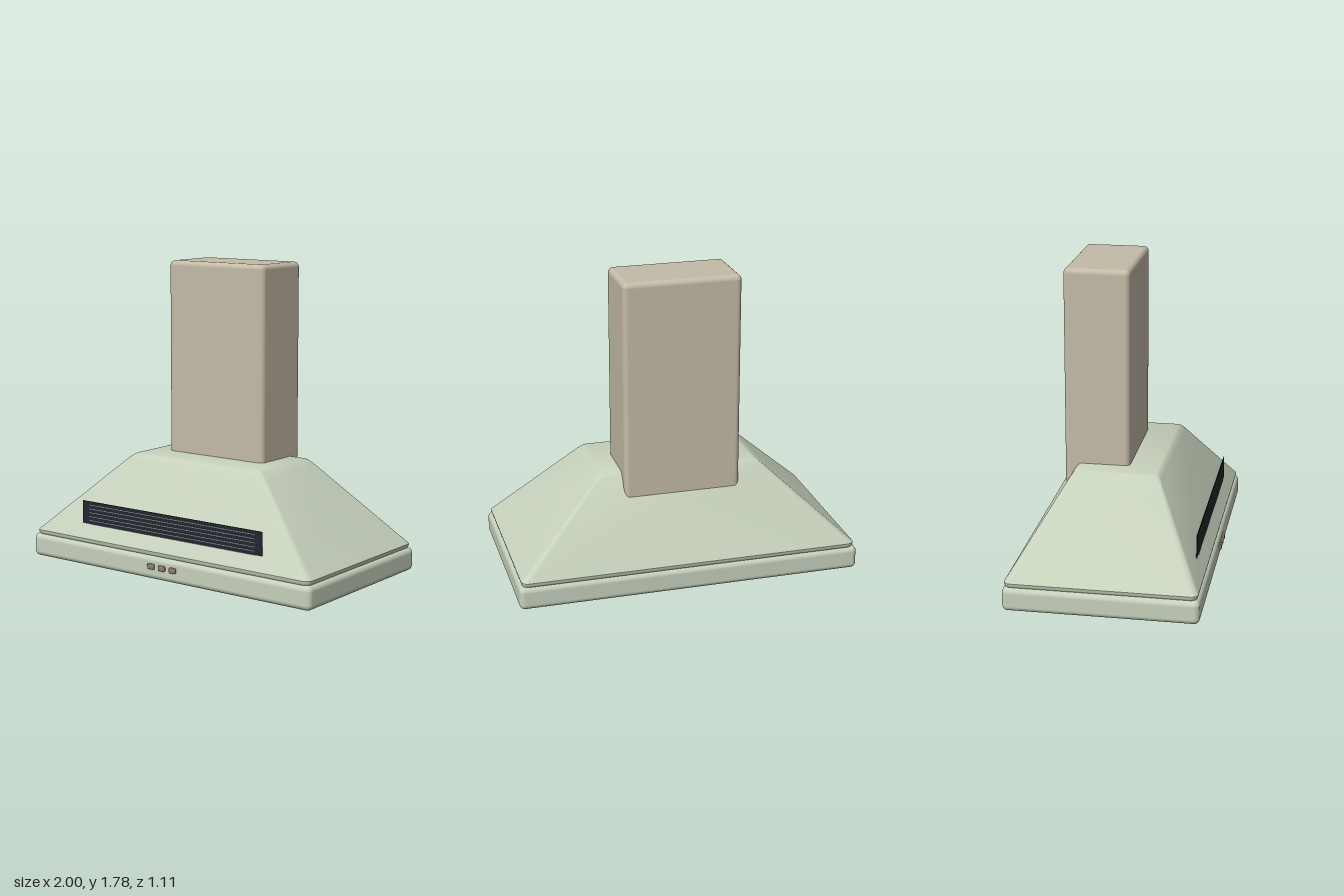
import * as THREE from 'three';
import { RoundedBoxGeometry } from 'three/addons/geometries/RoundedBoxGeometry.js';
import { toCreasedNormals } from 'three/addons/utils/BufferGeometryUtils.js';

const mat = (color) => new THREE.MeshStandardMaterial({ color });

export function createModel() {
  const model = new THREE.Group();
  const enamel = mat(0xc6d1bc), flueColor = mat(0xc4bba8), dark = mat(0x23272e);
  const slatColor = mat(0x8d949b), buttonColor = mat(0x8a7f6c);

  const add = (name, geometry, material, x, y, z) => {
    const mesh = new THREE.Mesh(geometry, material);
    mesh.name = name;
    mesh.position.set(x, y, z);
    model.add(mesh);
    return mesh;
  };

  // Rounded rim at the bottom
  add('baseRim', new RoundedBoxGeometry(2, 0.137, 1.09, 5, 0.032), enamel, 0, 0.0735, -0.005);

  // Canopy: rounded box tapered towards the top
  const y0 = 0.125, y1 = 0.65;
  const box = new RoundedBoxGeometry(1.97, y1 - y0, 1.07, 6, 0.04);
  box.translate(0, (y0 + y1) / 2, 0);
  const p = box.attributes.position;
  for (let i = 0; i < p.count; i++) {
    const t = Math.max(0, (p.getY(i) - 0.165) / (y1 - 0.165));
    p.setX(i, p.getX(i) * THREE.MathUtils.lerp(1, 0.46 / 0.985, t));
    p.setZ(i, p.getZ(i) * THREE.MathUtils.lerp(1, 0.24 / 0.535, t));
  }
  add('canopy', toCreasedNormals(box, 0.6), enamel, 0, 0, -0.007);

  // Chimney flue, set into the back of the canopy
  add('flue', new RoundedBoxGeometry(0.68, 1.38, 0.375, 5, 0.03), flueColor, 0, 1.09, -0.138);

  // Upright vent grille with thin slats
  add('ventPlate', new THREE.BoxGeometry(1.3, 0.136, 0.005), dark, 0, 0.311, 0.478);
  for (let i = 0; i < 6; i++) {
    add('ventSlat', new THREE.BoxGeometry(1.2, 0.004, 0.006), slatColor, 0, 0.242 + i * 0.0232, 0.479);
  }

  // Control buttons on the rim
  for (const x of [-0.078, 0, 0.078]) {
    add('button', new RoundedBoxGeometry(0.045, 0.031, 0.03, 2, 0.006), buttonColor, x, 0.083, 0.54);
  }

  // Two banks of intake slots underneath
  for (const side of [-1, 1]) {
    for (let i = -2; i <= 2; i++) {
      add('intakeSlot', new THREE.BoxGeometry(0.6, 0.012, 0.016), dark, side * 0.48, 0.006, i * 0.11);
    }
  }
  return model;
}
